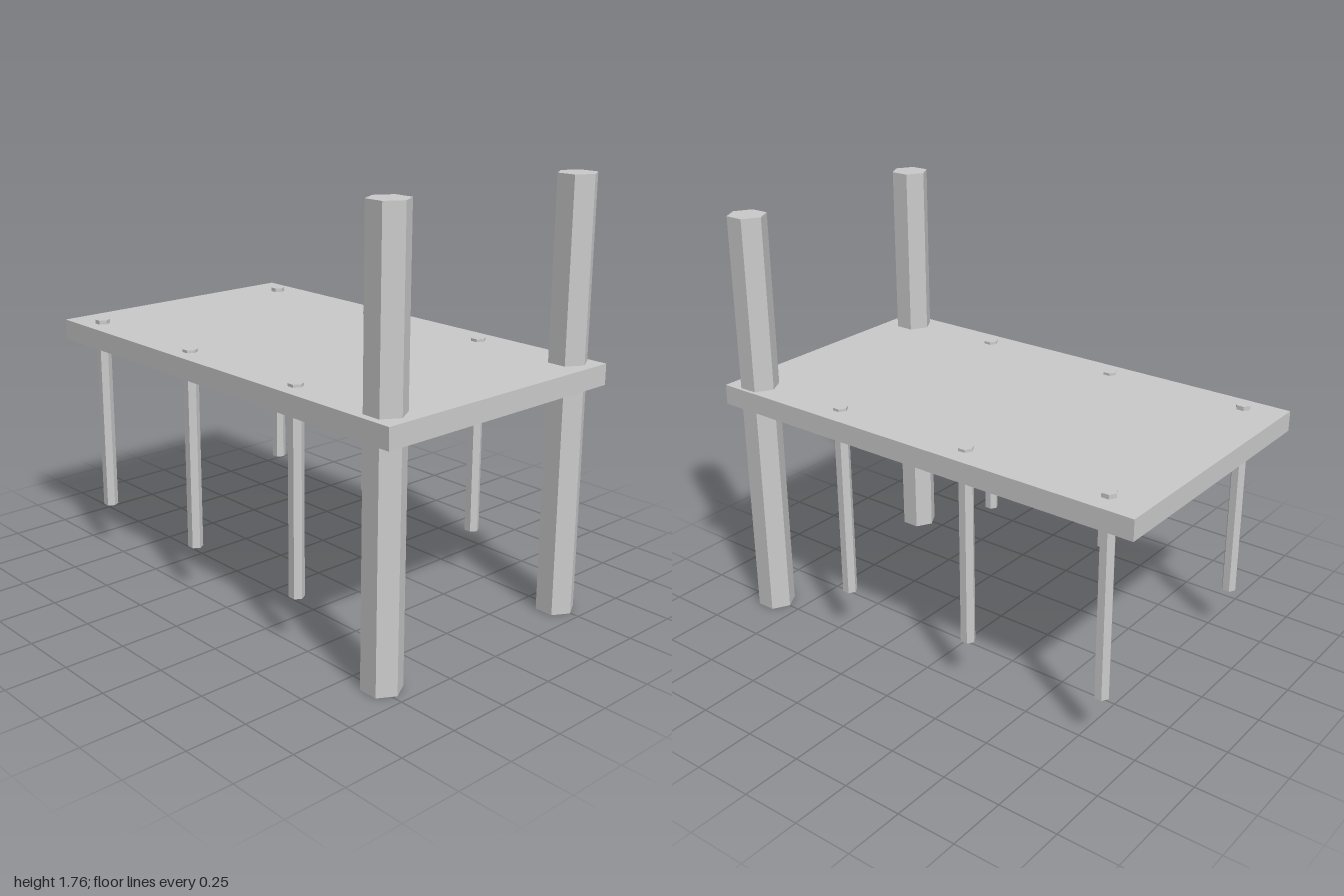
import * as THREE from 'three';

export function createModel() {
  const group = new THREE.Group();
  const material = new THREE.MeshStandardMaterial({ color: 0xcccccc, flatShading: true });

  // Upright hexagonal post with corners pointing along x
  function addPost(name, radius, x, z, bottom, top) {
    const geometry = new THREE.CylinderGeometry(radius, radius, top - bottom, 6, 1, false, Math.PI / 6);
    const post = new THREE.Mesh(geometry, material);
    post.name = name;
    post.position.set(x, (top + bottom) / 2, z);
    group.add(post);
  }

  // Deck slab
  const deck = new THREE.Mesh(new THREE.BoxGeometry(2, 0.085, 1.165), material);
  deck.name = 'deck';
  deck.position.set(0, 0.992, 0);
  group.add(deck);

  // Two tall pillars at the left end
  addPost('frontPillar', 0.08, 0.882, 0.482, 0, 1.76);
  addPost('backPillar', 0.08, 0.882, -0.498, 0, 1.76);

  // Three pairs of thin legs, tips poking through the deck
  for (const [x, top] of [[-0.836, 1.052], [-0.203, 1.046], [0.436, 1.046]]) {
    addPost('frontLeg', 0.031, x, 0.498, 0.205, top);
    addPost('backLeg', 0.031, x, -0.484, 0.205, top);
  }

  return group;
}
